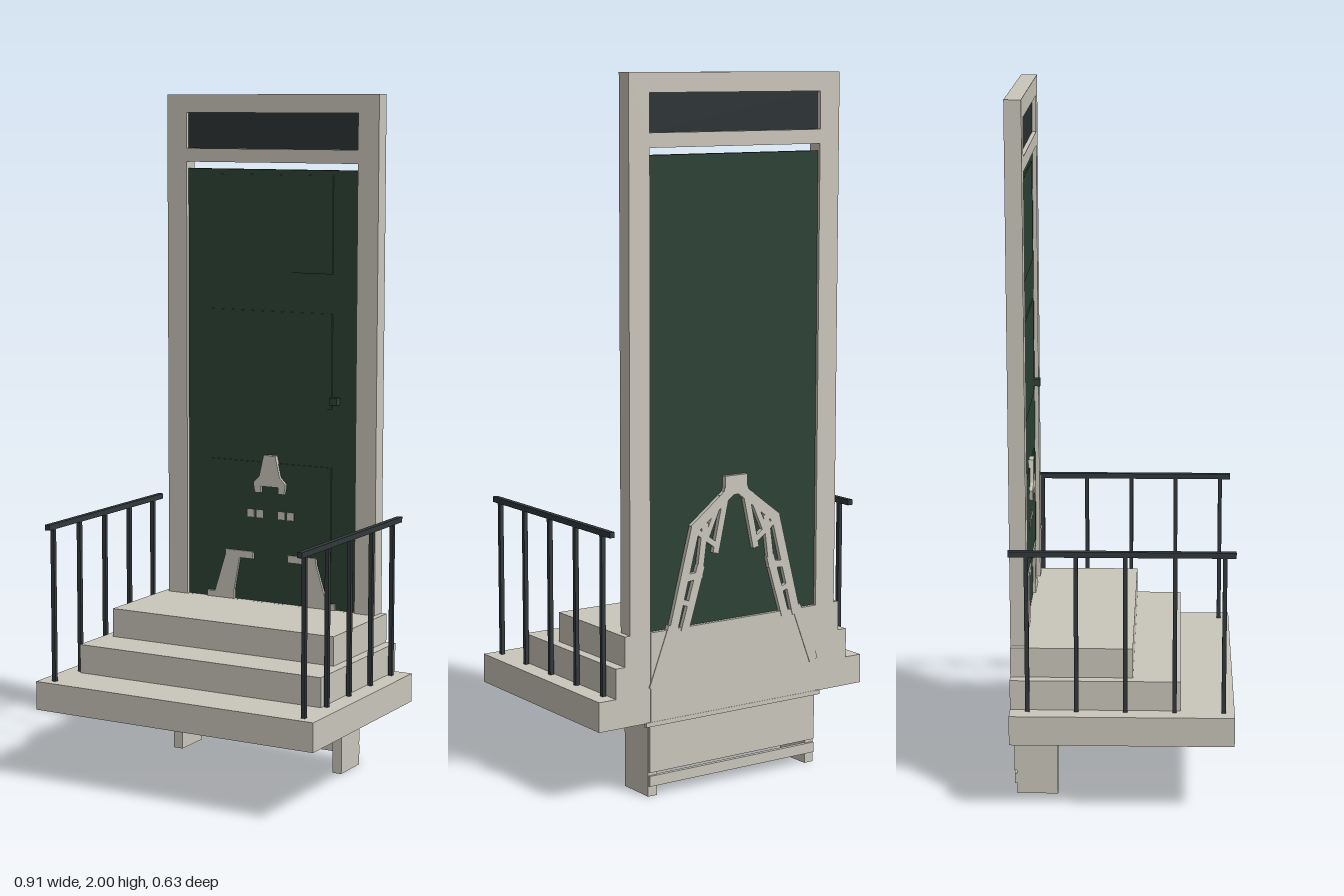
import * as THREE from 'three';

const mat = (name, color) => {
  const m = new THREE.MeshStandardMaterial({ color });
  m.name = name;
  return m;
};

export function createModel() {
  const root = new THREE.Group();
  root.name = 'doorwayWithSteps';
  const stone = mat('paleStone', 0xcac6bb);
  const green = mat('darkGreenPaint', 0x2c4235);
  const iron = mat('darkIron', 0x32383b);
  const glass = mat('darkGlass', 0x2b3234);

  // Box given by its limits on each axis
  const box = (name, m, x0, x1, y0, y1, z0, z1, parent = root) => {
    const mesh = new THREE.Mesh(new THREE.BoxGeometry(x1 - x0, y1 - y0, z1 - z0), m);
    mesh.position.set((x0 + x1) / 2, (y0 + y1) / 2, (z0 + z1) / 2);
    mesh.name = name;
    parent.add(mesh);
    return mesh;
  };
  // Flat outline extruded between two depths
  const plate = (name, m, pts, z0, z1, holes = []) => {
    const toV = (p) => new THREE.Vector2(p[0], p[1]);
    const shape = new THREE.Shape(pts.map(toV));
    holes.forEach((h) => shape.holes.push(new THREE.Path(h.map(toV))));
    const geo = new THREE.ExtrudeGeometry(shape, { depth: z1 - z0, bevelEnabled: false });
    const mesh = new THREE.Mesh(geo, m);
    mesh.position.z = z0;
    mesh.name = name;
    root.add(mesh);
    return mesh;
  };
  const rect = (x0, x1, y0, y1) => [[x0, y0], [x1, y0], [x1, y1], [x0, y1]];

  // Steps
  box('landing', stone, -0.457, 0.457, 0.215, 0.3, -0.315, 0.316);
  box('middleStep', stone, -0.402, 0.402, 0.3, 0.386, -0.315, 0.165);
  box('topStep', stone, -0.372, 0.372, 0.386, 0.472, -0.315, 0.03);

  // Door frame with openings for door and window
  plate('doorFrame', stone, rect(-0.355, 0.355, 0.47, 2), -0.315, -0.268,
    [rect(-0.288, 0.288, 0.4721, 1.8), rect(-0.288, 0.288, 1.84, 1.946)]);
  box('transomWindow', glass, -0.288, 0.288, 1.84, 1.946, -0.302, -0.28);

  // Door with three panels and a knob
  box('door', green, -0.288, 0.288, 0.472, 1.78, -0.306, -0.28);
  for (const [y0, y1] of [[0.62, 0.902], [1.077, 1.36], [1.477, 1.765]])
    box('doorPanel', green, -0.204, 0.204, y0, y1, -0.28, -0.276);
  box('doorKnob', green, 0.205, 0.229, 1.092, 1.114, -0.28, -0.258);

  // Railings
  for (const s of [-1, 1]) {
    const rail = new THREE.Group();
    rail.name = s > 0 ? 'leftRailing' : 'rightRailing';
    root.add(rail);
    const x = s * 0.412;
    box('handrail', iron, x - 0.008, x + 0.008, 0.753, 0.769, -0.315, 0.316, rail);
    for (let i = 0; i < 5; i++) {
      const z = 0.285 - i * 0.1375;
      box('railPost', iron, x - 0.006, x + 0.006, 0.3, 0.755, z - 0.006, z + 0.006, rail);
    }
  }

  // Support below the landing
  for (const s of [-1, 1])
    box('supportLeg', stone, s * 0.275 - 0.015, s * 0.275 + 0.015, 0, 0.215, -0.305, -0.187);
  box('supportLip', stone, -0.304, 0.304, 0.204, 0.217, -0.318, -0.305);
  box('backPanel', stone, -0.288, 0.288, 0.07, 0.215, -0.312, -0.3);
  box('backPanelLower', stone, -0.288, 0.288, 0.215, 0.472, -0.317, -0.31);
  box('lowerBar', stone, -0.288, 0.288, 0.03, 0.06, -0.312, -0.3);

  // Lattice arch on the back of the door
  const beam = (a, b, w, z0 = -0.319, z1 = -0.303) => {
    const dx = b[0] - a[0], dy = b[1] - a[1];
    const mesh = new THREE.Mesh(new THREE.BoxGeometry(w, Math.hypot(dx, dy), z1 - z0), stone);
    mesh.position.set((a[0] + b[0]) / 2, (a[1] + b[1]) / 2, (z0 + z1) / 2);
    mesh.rotation.z = Math.atan2(-dx, dy);
    mesh.name = 'latticeBeam';
    root.add(mesh);
  };
  box('archTop', stone, -0.038, 0.038, 0.83, 0.885, -0.319, -0.303);
  for (const s of [-1, 1]) {
    beam([0, 0.855], [s * 0.145, 0.745], 0.03);
    beam([s * 0.138, 0.755], [s * 0.215, 0.46], 0.028);
    beam([s * 0.215, 0.48], [s * 0.28, 0.31], 0.03);
    beam([s * 0.03, 0.85], [s * 0.07, 0.67], 0.02);
    beam([s * 0.05, 0.83], [s * 0.1, 0.72], 0.016);
    beam([s * 0.065, 0.69], [s * 0.135, 0.74], 0.016);
    beam([s * 0.105, 0.76], [s * 0.125, 0.61], 0.02);
    beam([s * 0.12, 0.64], [s * 0.175, 0.46], 0.026);
    beam([s * 0.115, 0.615], [s * 0.175, 0.61], 0.02);
    beam([s * 0.14, 0.53], [s * 0.2, 0.55], 0.016);
  }

  // Lattice showing on the front of the door
  plate('frontArchTop', stone, [[-0.05, 0.81], [-0.03, 0.81], [-0.03, 0.83], [0.03, 0.83],
    [0.03, 0.81], [0.05, 0.81], [0.055, 0.84], [0.035, 0.86], [0.02, 0.925], [-0.02, 0.925],
    [-0.035, 0.86], [-0.055, 0.84]], -0.28, -0.266);
  for (const s of [-1, 1]) {
    for (const x of [0.037, 0.068])
      box('frontStud', stone, s * x - 0.011, s * x + 0.011, 0.732, 0.755, -0.28, -0.274);
    box('frontCap', stone, s * 0.108 - 0.048, s * 0.108 + 0.048, 0.602, 0.624, -0.28, -0.272);
    const leg = [[0.105, 0.61], [0.155, 0.61], [0.193, 0.49], [0.22, 0.49], [0.22, 0.472],
      [0.125, 0.472], [0.125, 0.5]];
    plate('frontLatticeLeg', stone, leg.map(([x, y]) => [s * x, y]), -0.28, -0.272);
  }
  return root;
}
